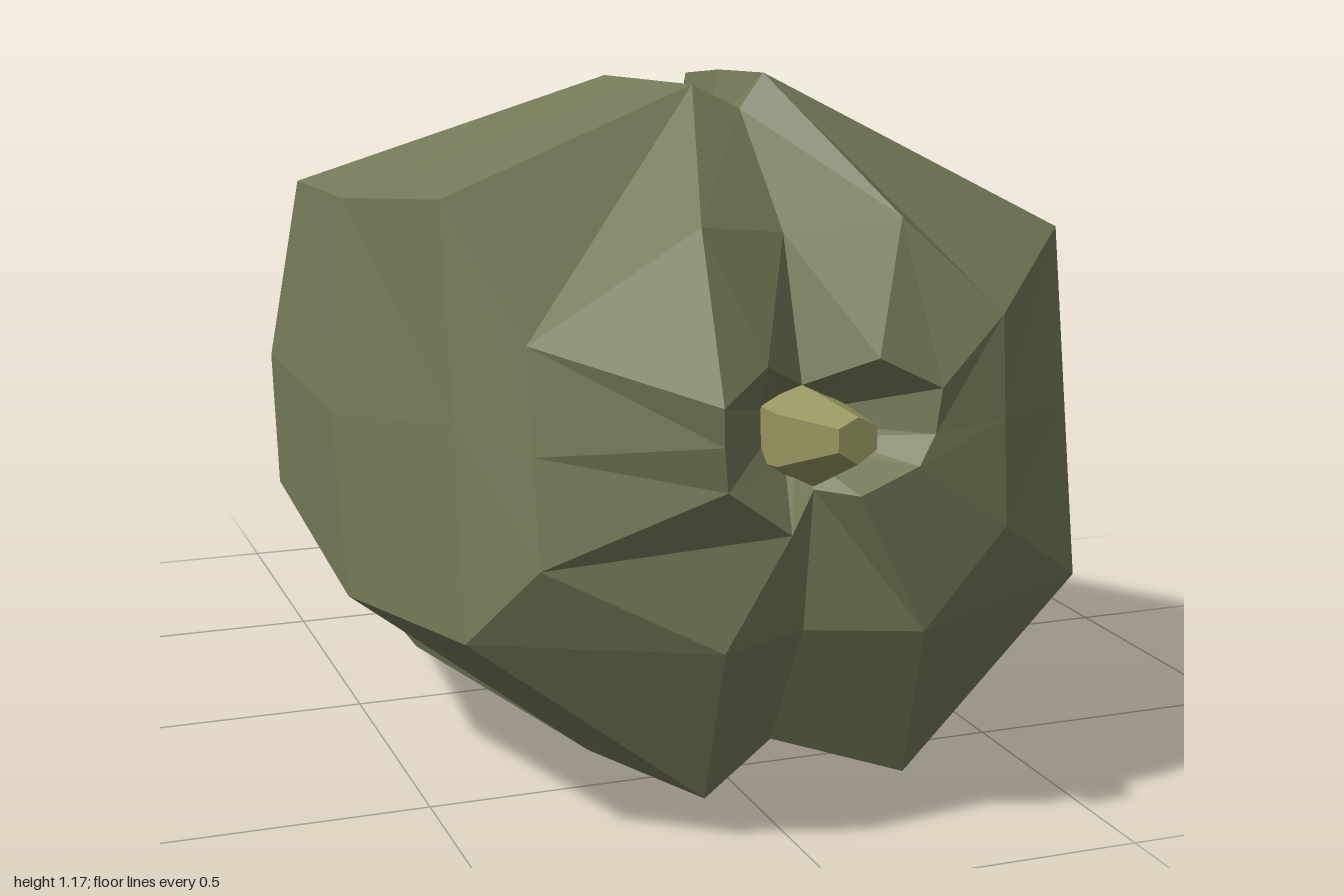
import * as THREE from 'three';

// Skin a list of rings (front to back, points clockwise seen from the front).
function loft(rings, { closed = false, flip = false, capFront = false, capBack = false } = {}) {
  const pos = [], idx = [], n = rings[0].length;
  rings.forEach(r => r.forEach(p => pos.push(...p)));
  const tri = (a, b, c) => (flip ? idx.push(a, c, b) : idx.push(a, b, c));
  const cols = closed ? n : n - 1;
  for (let i = 0; i < rings.length - 1; i++) {
    for (let j = 0; j < cols; j++) {
      const k = (j + 1) % n, a = i * n + j, b = i * n + k, c = a + n, d = b + n;
      tri(a, b, c);
      tri(b, d, c);
    }
  }
  const last = (rings.length - 1) * n;
  for (let j = 1; j < n - 1; j++) {
    if (capFront) tri(0, j + 1, j);
    if (capBack) tri(last, last + j, last + j + 1);
  }
  const g = new THREE.BufferGeometry();
  g.setAttribute('position', new THREE.Float32BufferAttribute(pos, 3));
  g.setIndex(idx);
  const flat = g.toNonIndexed();
  flat.computeVertexNormals();
  return flat;
}

// Six-cornered section: half width, then [y, z] of top, upper side, lower side, bottom.
function hexRing(w, top, upper, lower, bottom) {
  const cx = 0.01;
  return [[cx, ...top], [cx + w, ...upper], [cx + w, ...lower],
    [cx, ...bottom], [cx - w, ...lower], [cx - w, ...upper]];
}

export function createModel() {
  const group = new THREE.Group();
  const kernelMat = new THREE.MeshStandardMaterial({ color: 0x97955f, flatShading: true });
  kernelMat.name = 'pale olive';
  const huskMat = new THREE.MeshStandardMaterial({ color: 0x747a58, flatShading: true, side: THREE.DoubleSide });
  huskMat.name = 'dark olive';
  const add = (name, geometry, material) => {
    const m = new THREE.Mesh(geometry, material);
    m.name = name;
    group.add(m);
  };

  // Kernel: tilted hexagonal body with a blunt rear tip
  add('kernel', loft([
    hexRing(0.12, [0.78, 0.7], [0.72, 0.7], [0.55, 0.7], [0.45, 0.7]),
    hexRing(0.32, [1.0, 0.48], [0.78, 0.48], [0.36, 0.48], [0.15, 0.5]),
    hexRing(0.41, [1.0, 0.09], [0.77, 0.05], [0.3, 0.04], [0.07, 0.1]),
    hexRing(0.36, [0.82, -0.73], [0.62, -0.7], [0.21, -0.63], [0.005, -0.59]),
    hexRing(0.13, [0.51, -0.94], [0.45, -0.96], [0.29, -1.0], [0.21, -0.98]),
  ], { closed: true, capFront: true, capBack: true }), kernelMat);

  // Stem: small tapered hexagonal peg at the front
  add('stem', loft([
    hexRing(0.03, [0.725, 1.0], [0.71, 1.0], [0.675, 1.0], [0.655, 1.0]),
    hexRing(0.06, [0.73, 0.85], [0.7, 0.85], [0.62, 0.85], [0.585, 0.85]),
    hexRing(0.07, [0.73, 0.68], [0.7, 0.68], [0.6, 0.68], [0.56, 0.68]),
  ], { closed: true, capFront: true, capBack: true }), kernelMat);

  // Husk halves: rings run lip, front face, shoulder, waist, rear rim, inner rim
  const rightRings = [
    [[0.01, 0.73, 0.8], [0.1, 0.78, 0.88], [0.2, 0.73, 0.89], [0.19, 0.66, 0.89], [0.16, 0.615, 0.9], [0.06, 0.58, 0.91], [0.01, 0.58, 0.85]],
    [[0.01, 0.95, 0.72], [0.175, 0.975, 0.79], [0.315, 0.83, 0.86], [0.315, 0.67, 0.875], [0.315, 0.505, 0.89], [0.175, 0.355, 0.9], [0.01, 0.35, 0.82]],
    [[0.01, 1.12, 0.54], [0.05, 1.175, 0.54], [0.53, 0.92, 0.63], [0.53, 0.64, 0.68], [0.53, 0.36, 0.73], [0.21, 0.075, 0.77], [0.01, 0.13, 0.7]],
    [[0.03, 1.05, 0.33], [0.07, 1.16, 0.3], [0.58, 0.845, 0.2], [0.585, 0.56, 0.25], [0.58, 0.285, 0.31], [0.265, 0.005, 0.35], [0.03, 0.12, 0.36]],
    [[0.06, 1.0, 0.13], [0.08, 1.14, 0.12], [0.5, 0.75, -0.06], [0.53, 0.6, -0.18], [0.53, 0.4, -0.15], [0.28, 0.05, 0.28], [0.05, 0.09, 0.3]],
    [[0.04, 0.98, 0.15], [0.08, 0.98, 0.14], [0.32, 0.82, 0.06], [0.4, 0.62, -0.05], [0.4, 0.4, -0.02], [0.22, 0.17, 0.28], [0.03, 0.08, 0.3]],
  ];
  const leftRings = [
    [[0.01, 0.73, 0.8], [-0.08, 0.78, 0.88], [-0.175, 0.74, 0.95], [-0.17, 0.68, 0.94], [-0.16, 0.61, 0.93], [-0.05, 0.53, 0.91], [0.01, 0.58, 0.85]],
    [[0.01, 0.95, 0.72], [-0.15, 0.975, 0.79], [-0.41, 0.81, 0.76], [-0.41, 0.65, 0.79], [-0.41, 0.485, 0.82], [-0.15, 0.355, 0.9], [0.01, 0.35, 0.82]],
    [[0.01, 1.12, 0.54], [-0.07, 1.16, 0.54], [-0.5, 1.01, 0.62], [-0.5, 0.68, 0.68], [-0.5, 0.355, 0.73], [-0.13, 0.075, 0.77], [0.01, 0.13, 0.7]],
    [[-0.01, 1.06, 0.33], [-0.07, 1.15, 0.33], [-0.555, 0.96, 0.2], [-0.58, 0.6, 0.2], [-0.575, 0.3, 0.27], [-0.18, 0.005, 0.35], [-0.01, 0.12, 0.38]],
    [[-0.05, 1.0, 0.13], [-0.07, 1.14, 0.12], [-0.55, 0.94, -0.18], [-0.585, 0.6, -0.3], [-0.58, 0.36, -0.28], [-0.38, 0.085, -0.05], [-0.05, 0.08, 0.3]],
    [[-0.03, 0.98, 0.15], [-0.07, 0.98, 0.14], [-0.32, 0.83, -0.05], [-0.37, 0.62, -0.18], [-0.37, 0.4, -0.18], [-0.22, 0.16, 0.02], [-0.03, 0.08, 0.3]],
  ];
  // Recess around the stem: the lip drawn in towards the axis
  const recess = lip => lip.map(([x, y]) => [0.01 + (x - 0.01) * 0.3, 0.66 + (y - 0.66) * 0.4, 0.78]);
  add('rightHusk', loft([recess(rightRings[0]), ...rightRings]), huskMat);
  add('leftHusk', loft([recess(leftRings[0]), ...leftRings], { flip: true }), huskMat);

  return group;
}
